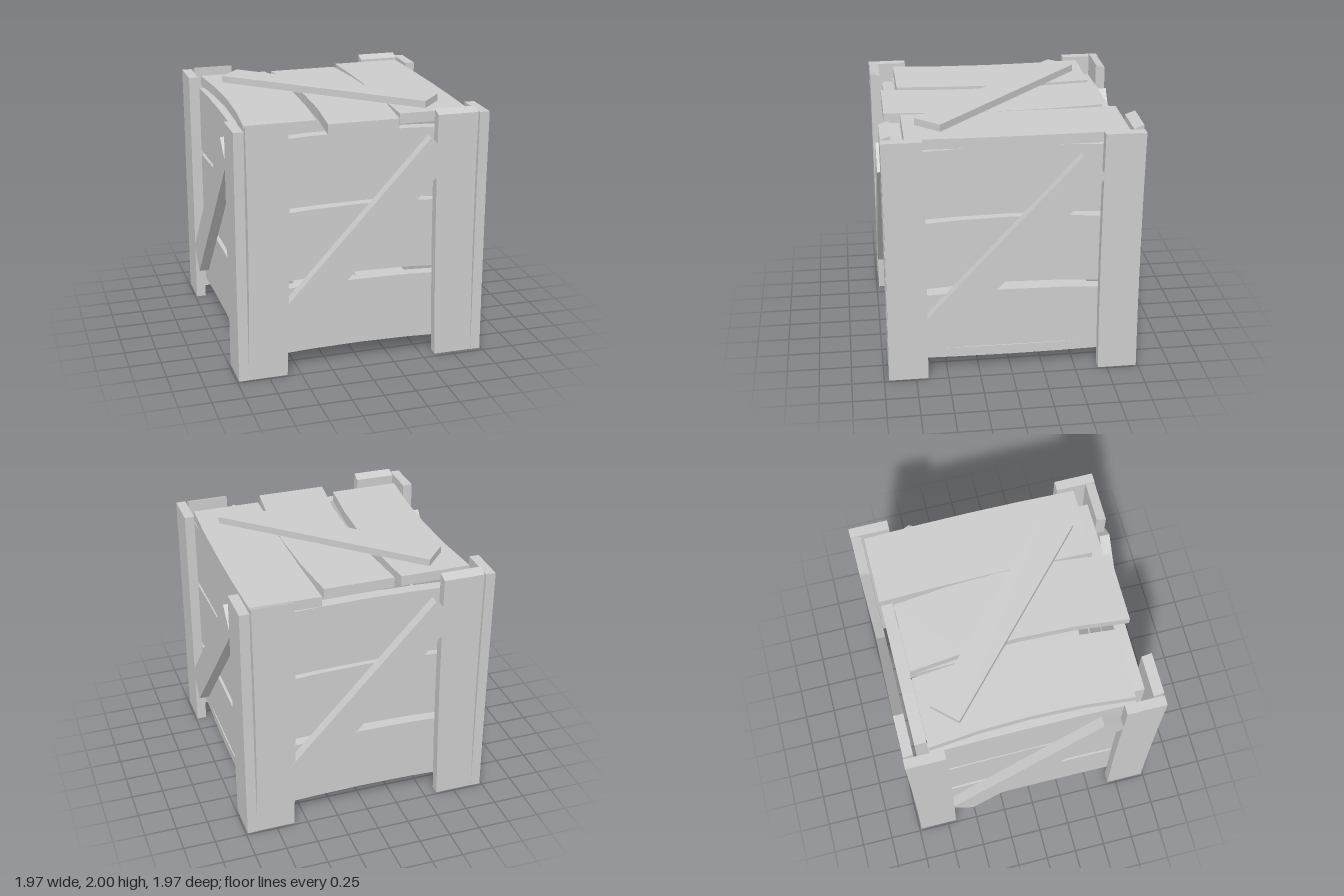
import * as THREE from 'three';

const material = new THREE.MeshStandardMaterial({ color: 0xcccccc, flatShading: true });

// Straight-sawn board between two corners, split along its length so that
// warp(position, t) can bend it; t runs from -1 to 1 along the length.
function board(name, min, max, axis, warp) {
  const lo = new THREE.Vector3(...min), hi = new THREE.Vector3(...max);
  const size = hi.clone().sub(lo), mid = lo.clone().add(hi).multiplyScalar(0.5);
  const seg = ['x', 'y', 'z'].map((a) => (a === axis ? 4 : 1));
  const geo = new THREE.BoxGeometry(size.x, size.y, size.z, ...seg);
  const pos = geo.attributes.position;
  const p = new THREE.Vector3();
  for (let i = 0; i < pos.count; i++) {
    p.fromBufferAttribute(pos, i);
    const t = p[axis] / (size[axis] / 2);
    p.add(mid);
    warp(p, t);
    pos.setXYZ(i, p.x, p.y, p.z);
  }
  geo.computeVertexNormals();
  const mesh = new THREE.Mesh(geo, material);
  mesh.name = name;
  return mesh;
}

const bow = (t) => 1 - t * t;

// Three arched horizontal planks on each wall
function walls() {
  const group = new THREE.Group();
  group.name = 'wallPlanks';
  const rows = [[0.125, 0.66, 0.025], [0.715, 1.26, 0.036], [1.3, 1.84, 0.024]];
  for (const s of [-1, 1]) {
    const a = s > 0 ? 0.79 : -0.88, b = s > 0 ? 0.88 : -0.79;
    for (const [y0, y1, arch] of rows) {
      const warp = (p, t) => { p.y += arch * bow(t); };
      group.add(board(s > 0 ? 'frontPlank' : 'backPlank', [-0.79, y0, a], [0.79, y1, b], 'x', warp));
      group.add(board(s > 0 ? 'leftPlank' : 'rightPlank', [a, y0, -0.79], [b, y1, 0.79], 'z', warp));
    }
  }
  return group;
}

// Lid or floor: three planks running front to back, bowed sideways
function deck(name, y0, y1, planks) {
  const group = new THREE.Group();
  group.name = name;
  for (const [x0, x1, z0, z1, bend] of planks) {
    group.add(board(name + 'Plank', [x0, y0, z0], [x1, y1, z1], 'z', (p, t) => { p.x += bend * bow(t); }));
  }
  return group;
}

// Corner post: two boards meeting in an L
function cornerPost(sx, sz) {
  const group = new THREE.Group();
  group.name = 'cornerPost';
  const inset = sx > 0 && sz > 0 ? 0.022 : 0;
  const range = (s, a, b) => (s > 0 ? [a, b] : [-b, -a]);

  // Board facing front or back, leaning inward, with a sloping top
  const [x0, x1] = range(sx, 0.605, 0.908);
  const [z0, z1] = range(sz, 0.905 - inset, 0.982 - inset);
  const zMid = (z0 + z1) / 2;
  group.add(board('facePostBoard', [x0, 0, z0], [x1, 1.975, z1], 'y', (p, t) => {
    const outward = Math.sign(p.z - zMid) * sz;
    const innerEdge = Math.abs(p.x) < 0.75 ? 1 : 0.4;
    p.x -= sx * (0.014 * (t + 1) * innerEdge + 0.01 * bow(t));
    if (t > 0.99) p.y += 0.014 * outward * -sx * sz;
  }));

  // Board facing sideways
  const [u0, u1] = range(sx, 0.908, 0.985);
  const [w0, w1] = range(sz, 0.68 - inset, 0.985 - inset);
  group.add(board('sidePostBoard', [u0, 0, w0], [u1, 1.96, w1], 'y', (p, t) => {
    p.z -= sz * 0.008 * bow(t);
  }));
  return group;
}

// Diagonal brace on a wall, turned about the vertical
function wallBrace(name, turn) {
  const pivot = new THREE.Group();
  pivot.name = name;
  const brace = new THREE.Mesh(new THREE.BoxGeometry(1.8, 0.248, 0.08), material);
  brace.name = name + 'Board';
  brace.position.set(0, 1.052, 0.944);
  brace.rotation.z = Math.atan2(1.325, 1.22);
  pivot.add(brace);
  pivot.rotation.y = turn;
  return pivot;
}

export function createModel() {
  const crate = new THREE.Group();
  crate.name = 'crate';

  crate.add(walls());
  crate.add(deck('lid', 1.865, 1.945, [
    [-0.865, -0.315, -0.785, 0.78, 0.048],
    [-0.262, 0.29, -0.785, 0.91, 0.06],
    [0.338, 0.882, -0.885, 0.785, 0.016],
  ]));
  crate.add(deck('floor', 0.12, 0.2, [
    [-0.875, -0.315, -0.785, 0.785, 0.048],
    [-0.262, 0.29, -0.785, 0.785, 0.055],
    [0.335, 0.872, -0.785, 0.785, 0.018],
  ]));

  for (const sx of [-1, 1]) for (const sz of [-1, 1]) crate.add(cornerPost(sx, sz));

  ['frontBrace', 'leftBrace', 'backBrace', 'rightBrace'].forEach((name, i) => {
    crate.add(wallBrace(name, (i * Math.PI) / 2));
  });

  // Diagonal brace across the lid
  const lidBrace = new THREE.Mesh(new THREE.BoxGeometry(1.79, 0.06, 0.248), material);
  lidBrace.name = 'lidBrace';
  lidBrace.position.set(0, 1.97, -0.005);
  lidBrace.rotation.y = -Math.atan2(1.22, 1.32);
  crate.add(lidBrace);

  return crate;
}
